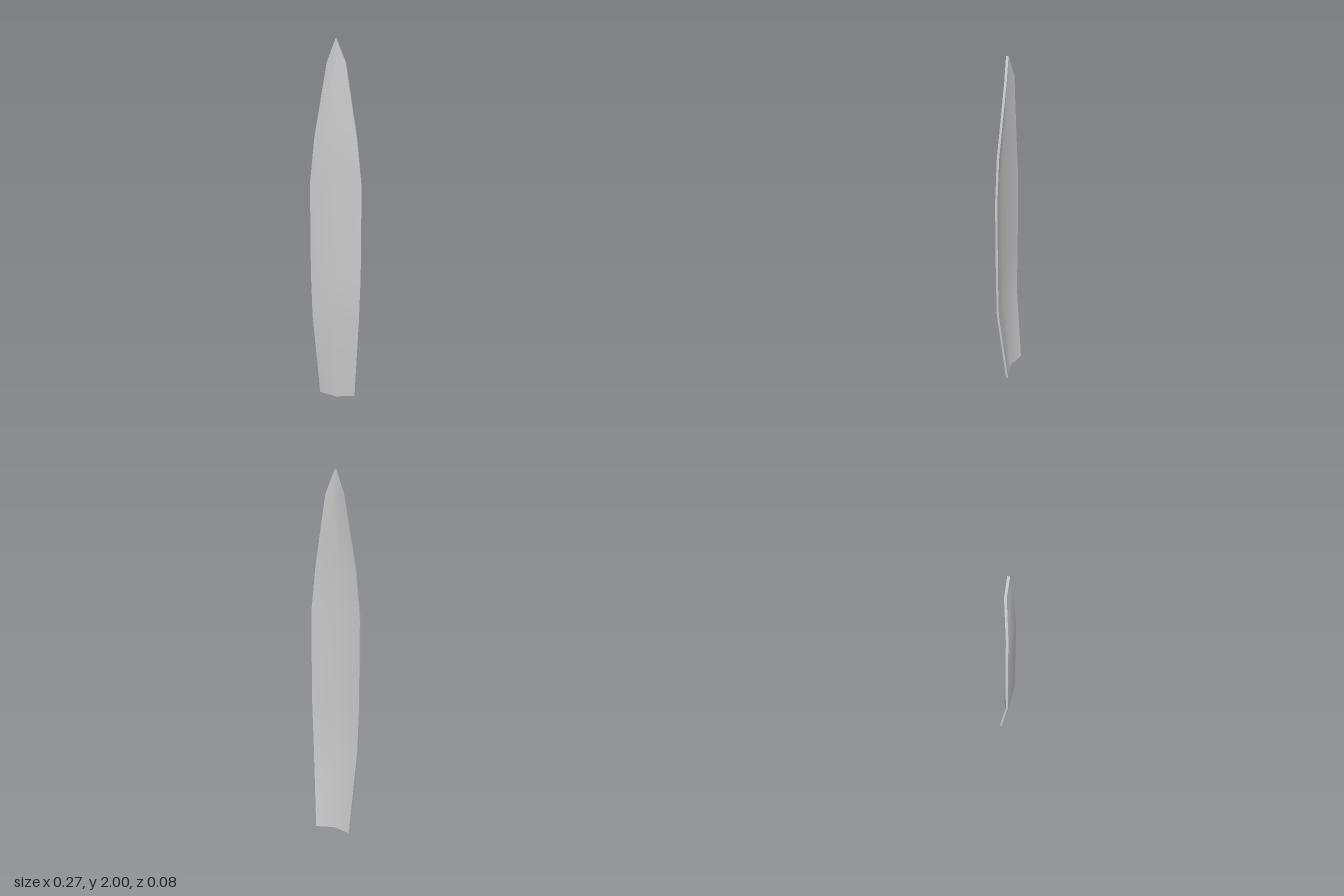
import * as THREE from 'three';
import { toCreasedNormals } from 'three/addons/utils/BufferGeometryUtils.js';

// Stations up the blade: height, half width, back edge z, back ridge z
const STATIONS = [
  [0, 0.1, -0.042, -0.013],
  [0.5, 0.13, 0, 0.027],
  [0.75, 0.137, 0, 0.027],
  [1.25, 0.137, 0, 0.027],
  [1.5, 0.111, 0, 0.027],
  [1.88, 0.048, -0.013, 0.005],
  [2, 0.0005, -0.003, -0.003],
];
const THICKNESS = 0.0125;

// Loft a shallow V-shaped plate through the stations
function bladeGeometry() {
  const positions = [];
  const indices = [];
  const quad = (a, b, c, d) => indices.push(a, b, c, a, c, d);

  for (const [y, w, edge, ridge] of STATIONS) {
    // front left to right, then back right to left
    positions.push(-w, y, edge + THICKNESS, 0, y, ridge + THICKNESS, w, y, edge + THICKNESS);
    positions.push(w, y, edge, 0, y, ridge, -w, y, edge);
  }

  // Faces and side walls
  for (let i = 0; i < STATIONS.length - 1; i++) {
    for (let j = 0; j < 6; j++) {
      const k = (j + 1) % 6;
      quad(i * 6 + j, i * 6 + k, i * 6 + 6 + k, i * 6 + 6 + j);
    }
  }

  // Base and tip caps, split at the ridge
  const t = (STATIONS.length - 1) * 6;
  quad(5, 4, 1, 0);
  quad(4, 3, 2, 1);
  quad(t, t + 1, t + 4, t + 5);
  quad(t + 1, t + 2, t + 3, t + 4);

  const geometry = new THREE.BufferGeometry();
  geometry.setAttribute('position', new THREE.Float32BufferAttribute(positions, 3));
  geometry.setIndex(indices);
  return toCreasedNormals(geometry, 0.6);
}

export function createModel() {
  const group = new THREE.Group();
  group.name = 'bladePlate';
  const blade = new THREE.Mesh(bladeGeometry(), new THREE.MeshStandardMaterial({ color: 0xcccccc }));
  blade.name = 'blade';
  group.add(blade);
  return group;
}
